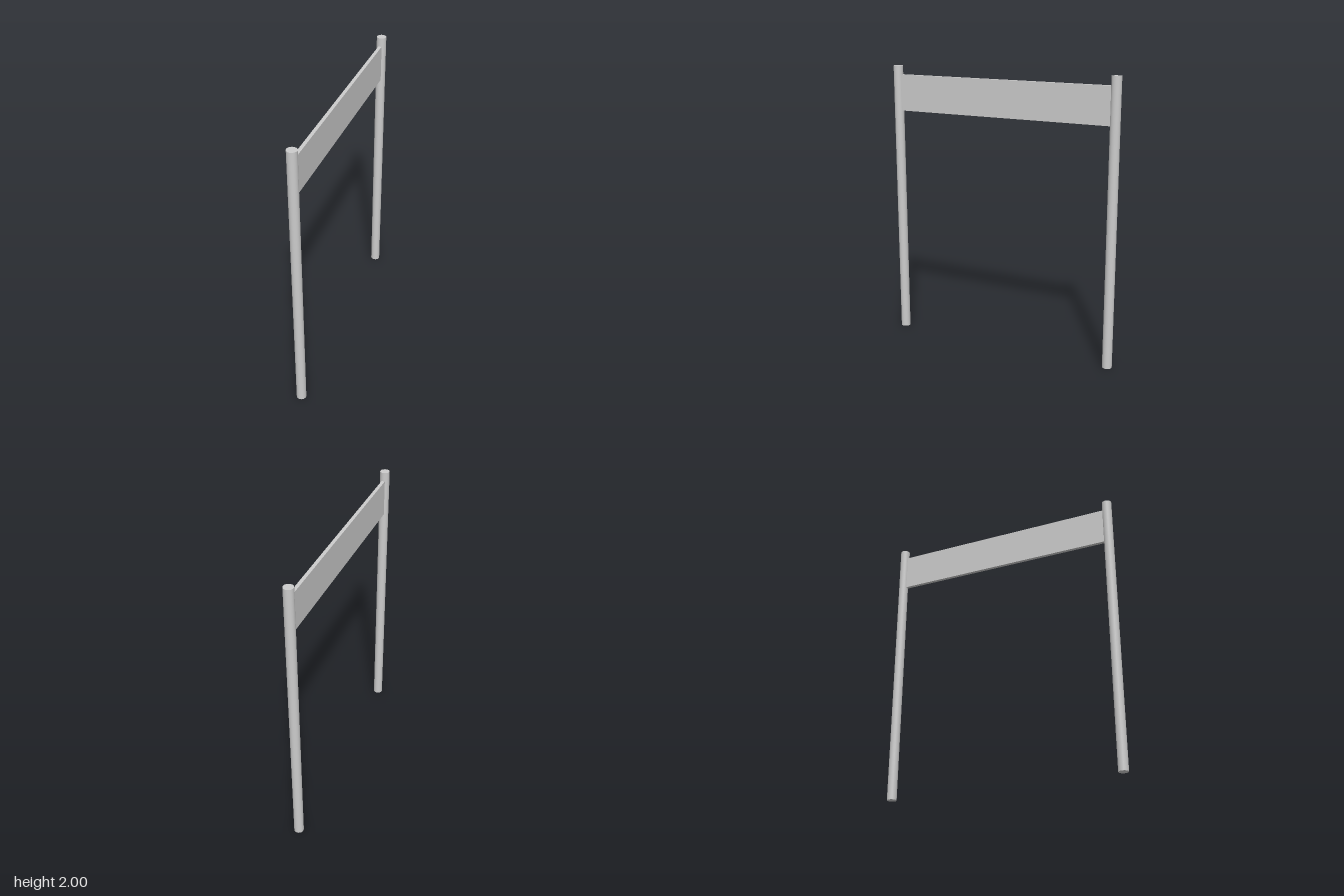
import * as THREE from 'three';

export function createModel() {
  const model = new THREE.Group();
  model.name = 'postSign';
  const material = new THREE.MeshStandardMaterial({ color: 0xcccccc });

  const add = (name, geometry, y, z) => {
    const mesh = new THREE.Mesh(geometry, material);
    mesh.name = name;
    mesh.position.set(0, y, z);
    model.add(mesh);
  };

  // Two round posts, front and back
  const radius = 0.034, postZ = 0.833;
  const post = new THREE.CylinderGeometry(radius, radius, 2, 20);
  add('frontPost', post, 1, postZ);
  add('backPost', post, 1, -postZ);

  // Thin board spanning between the posts, just below their tops
  const bottom = 1.677, top = 1.937;
  add('board', new THREE.BoxGeometry(0.024, top - bottom, 1.602), (top + bottom) / 2, 0);

  return model;
}
